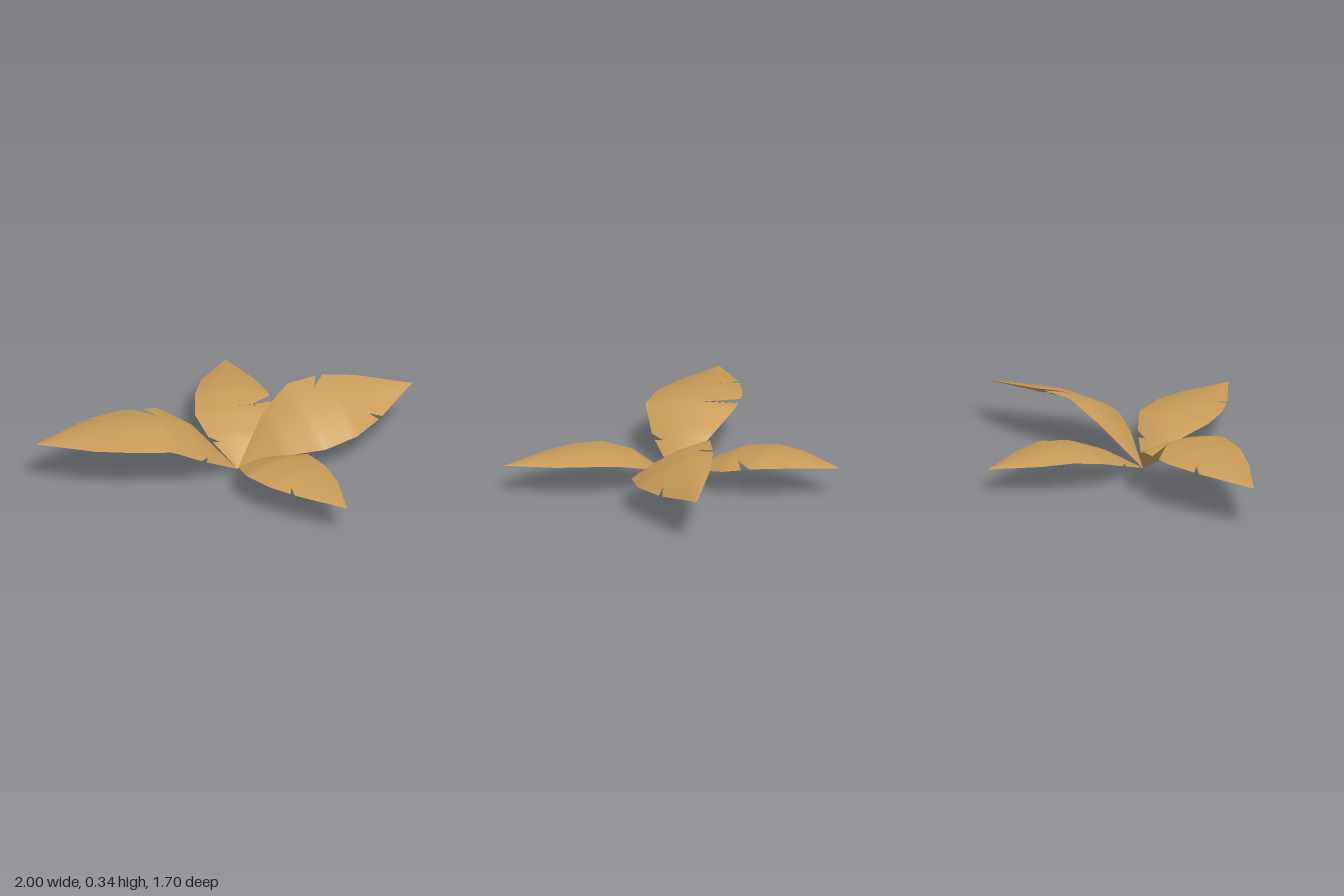
import * as THREE from 'three';

const BASE = new THREE.Vector3(-0.02, 0, -0.05);
const STATIONS = [0, 0.2, 0.36, 0.55, 0.73, 1]; // fractions of leaf length
const LEAN = 0.45; // how far the cross rows sweep toward the tip at the edges
const COLS = 12;
const ROWS = 40;

// Each edge gives its distance from the midline and its height at the inner stations.
// Notches: edge (1 = plus, -1 = minus), position along the leaf, depth across.
const LEAVES = [
  {
    name: 'leftLeaf', tip: [1.0, 0.235, -0.02], arch: 0.03,
    plus: { width: [0.16, 0.265, 0.25, 0.16], height: [0.1, 0.14, 0.16, 0.175] },
    minus: { width: [0.105, 0.14, 0.137, 0.1], height: [0.225, 0.335, 0.34, 0.305] },
    notches: [[-1, 0.54, 0.2], [1, 0.735, 0.17]],
  },
  {
    name: 'frontLeaf', tip: [0.1, 0.155, 0.85], arch: 0.028,
    plus: { width: [0.135, 0.2, 0.19, 0.13], height: [0.13, 0.165, 0.17, 0.165] },
    minus: { width: [0.13, 0.2, 0.18, 0.13], height: [0.11, 0.16, 0.17, 0.165] },
    notches: [[-1, 0.19, 0.17], [1, 0.7, 0.15]],
  },
  {
    name: 'backLeaf', tip: [0.38, 0.155, -0.85], arch: 0.028,
    plus: { width: [0.11, 0.205, 0.195, 0.13], height: [0.1, 0.14, 0.17, 0.17] },
    minus: { width: [0.135, 0.197, 0.183, 0.14], height: [0.09, 0.15, 0.18, 0.175] },
    notches: [[1, 0.5, 0.26], [-1, 0.19, 0.14]],
  },
  {
    name: 'rightLeaf', tip: [-1.0, 0.24, -0.42], arch: 0.035,
    plus: { width: [0.165, 0.236, 0.23, 0.17], height: [0.19, 0.265, 0.27, 0.265] },
    minus: { width: [0.165, 0.236, 0.215, 0.15], height: [0.15, 0.255, 0.26, 0.25] },
    notches: [[1, 0.457, 0.28], [1, 0.73, 0.17], [-1, 0.19, 0.13]],
  },
];

// Value at fraction t, with set values at the base and the tip
function along(inner, tipValue, t) {
  const values = [0, ...inner, tipValue];
  let i = 0;
  while (i < STATIONS.length - 2 && t > STATIONS[i + 1]) i++;
  const f = (t - STATIONS[i]) / (STATIONS[i + 1] - STATIONS[i]);
  return values[i] + (values[i + 1] - values[i]) * f;
}

// Row whose swept edge lands at position t on the outline
function rowAt(t) {
  let r = t;
  for (let i = 0; i < 20; i++) r = t - LEAN * r * (1 - r);
  return r;
}

function leafGeometry({ tip, arch, plus, minus, notches }) {
  const axis = new THREE.Vector3(...tip).sub(BASE).setY(0);
  const side = new THREE.Vector3(-axis.z, 0, axis.x).normalize();

  // Point on the blade: r is the row, u runs from the minus edge to the plus edge
  const surface = (r, u) => {
    const e = 2 * u - 1;
    const t = r + LEAN * e * e * r * (1 - r);
    const edges = [minus, plus].map(({ width, height }) => [along(width, 0, t), along(height, tip[1], t)]);
    const out = THREE.MathUtils.lerp(-edges[0][0], edges[1][0], u);
    const p = BASE.clone().addScaledVector(axis, t).addScaledVector(side, out);
    p.y = THREE.MathUtils.lerp(edges[0][1], edges[1][1], u) + arch * (1 - e * e) * Math.sin(Math.PI * t);
    return p.toArray();
  };

  // Regular rows, cleared around each notch, plus three rows per notch
  const cuts = notches.map(([edge, t, depth]) => ({ edge, r: rowAt(t), depth, w: depth * 0.09 }));
  const rows = [];
  for (let i = 0; i <= ROWS; i++) {
    const r = i / ROWS;
    if (!cuts.some((c) => Math.abs(c.r - r) < c.w + 0.004)) rows.push({ r, lo: 0, hi: 1 });
  }
  for (const { edge, r, depth, w } of cuts) {
    rows.push({ r: r - w, lo: 0, hi: 1 }, { r: r + w, lo: 0, hi: 1 });
    rows.push({ r, lo: edge < 0 ? depth : 0, hi: edge > 0 ? 1 - depth : 1 });
  }
  rows.sort((m, n) => m.r - n.r);

  const positions = [], index = [];
  rows.forEach(({ r, lo, hi }, i) => {
    for (let k = 0; k <= COLS; k++) {
      positions.push(...surface(r, lo + ((hi - lo) * k) / COLS));
      if (i && k) {
        const d = i * (COLS + 1) + k, c = d - 1, b = d - COLS - 1, a = b - 1;
        index.push(a, b, c, b, d, c); // upper side faces out
      }
    }
  });

  const g = new THREE.BufferGeometry();
  g.setAttribute('position', new THREE.Float32BufferAttribute(positions, 3));
  g.setIndex(index.reverse());
  g.computeVertexNormals();
  return g;
}

export function createModel() {
  const group = new THREE.Group();
  group.name = 'leafPlant';
  const dryLeaf = new THREE.MeshStandardMaterial({ color: 0xc89b58, side: THREE.DoubleSide });
  dryLeaf.name = 'dry leaf tan';
  for (const leaf of LEAVES) {
    const mesh = new THREE.Mesh(leafGeometry(leaf), dryLeaf);
    mesh.name = leaf.name;
    group.add(mesh);
  }
  return group;
}
